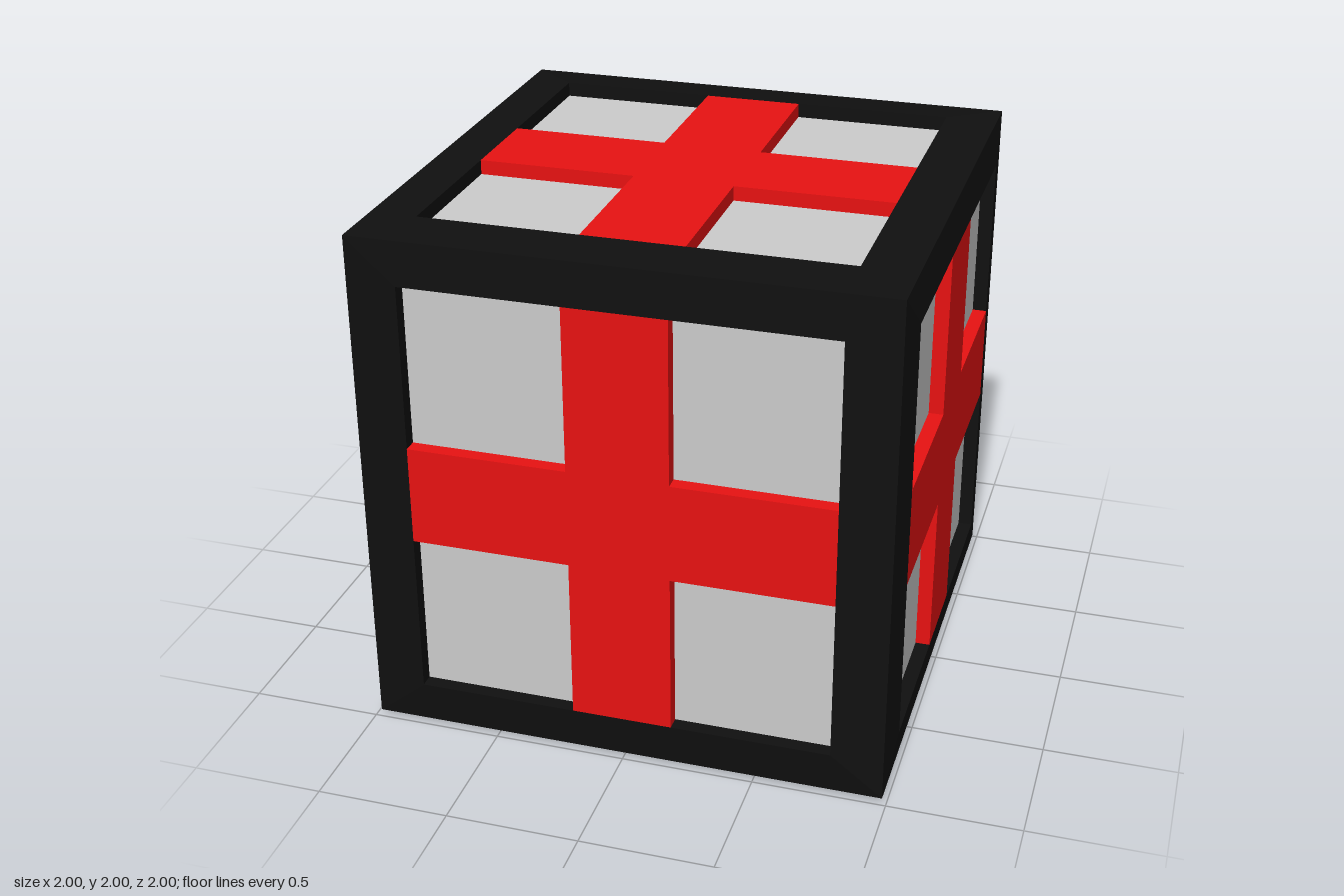
import * as THREE from 'three';

const CORNER = 0.983;  // cube corners, slightly lower than the frame's inner rim
const RIM = 1.0;       // height of the inner rim
const FLOOR = 0.945;   // depth of the recessed panels
const HALF_W = 0.79;   // half width of each opening
const ARM = 0.19;      // half width of a cross arm

const black = new THREE.MeshStandardMaterial({ color: 0x101010, flatShading: true });
const red = new THREE.MeshStandardMaterial({ color: 0xe81212 });
const grey = new THREE.MeshStandardMaterial({ color: 0xcccccc });

function add(group, name, geometry, material, z = 0) {
  const mesh = new THREE.Mesh(geometry, material);
  mesh.name = name;
  mesh.position.z = z;
  group.add(mesh);
}

// Sloping border plus the short wall down to the panel, from rectangular loops
function frameGeometry(halfH) {
  const loops = [[CORNER, CORNER, CORNER], [HALF_W, halfH, RIM], [HALF_W, halfH, FLOOR]];
  const signs = [[-1, -1], [1, -1], [1, 1], [-1, 1]];
  const positions = [];
  for (const [w, h, z] of loops) for (const [sx, sy] of signs) positions.push(sx * w, sy * h, z);
  const index = [];
  for (let l = 0; l < 2; l++) {
    for (let i = 0; i < 4; i++) {
      const a = l * 4 + i, b = l * 4 + (i + 1) % 4;
      index.push(a, b, b + 4, a, b + 4, a + 4);
    }
  }
  const geometry = new THREE.BufferGeometry();
  geometry.setAttribute('position', new THREE.Float32BufferAttribute(positions, 3));
  geometry.setIndex(index);
  const flat = geometry.toNonIndexed();
  flat.computeVertexNormals();
  return flat;
}

// Raised plus sign reaching all four sides of the opening
function crossGeometry(halfH) {
  const w = HALF_W, h = halfH, a = ARM;
  const outline = [
    [-a, -h], [a, -h], [a, -a], [w, -a], [w, a], [a, a],
    [a, h], [-a, h], [-a, a], [-w, a], [-w, -a], [-a, -a],
  ].map(([x, y]) => new THREE.Vector2(x, y));
  return new THREE.ExtrudeGeometry(new THREE.Shape(outline), {
    depth: RIM - FLOOR, bevelEnabled: false,
  });
}

function createFace(name, halfH) {
  const face = new THREE.Group();
  face.name = name;
  add(face, 'frame', frameGeometry(halfH), black);
  add(face, 'panel', new THREE.PlaneGeometry(2 * HALF_W, 2 * halfH), grey, FLOOR);
  add(face, 'cross', crossGeometry(halfH), red, FLOOR);
  return face;
}

export function createModel() {
  const model = new THREE.Group();
  model.name = 'crossCube';
  // Four upright sides with slightly taller openings
  ['frontFace', 'leftFace', 'backFace', 'rightFace'].forEach((name, i) => {
    const face = createFace(name, 0.82);
    face.rotation.y = i * Math.PI / 2;
    face.position.y = 1;
    model.add(face);
  });
  // Top and bottom with square openings
  [['topFace', -1], ['bottomFace', 1]].forEach(([name, s]) => {
    const face = createFace(name, HALF_W);
    face.rotation.x = s * Math.PI / 2;
    face.position.y = 1;
    model.add(face);
  });
  return model;
}
